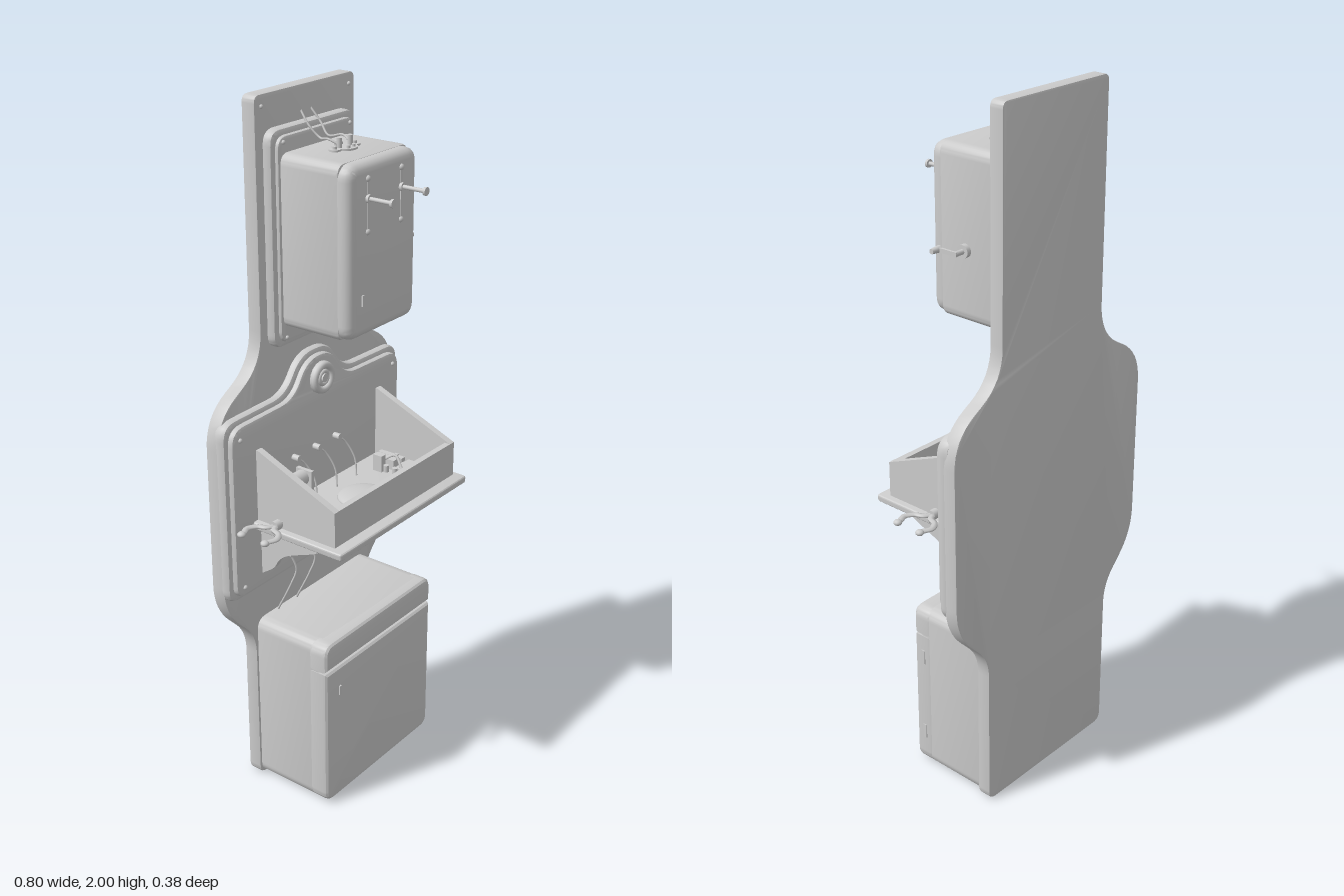
import * as THREE from 'three';
import { toCreasedNormals } from 'three/addons/utils/BufferGeometryUtils.js';

const mat = new THREE.MeshStandardMaterial({ color: 0xcccccc, side: THREE.DoubleSide });
const V = (x, y, z) => new THREE.Vector3(x, y, z);

// Closed polygon with rounded corners; each point is [x, y, radius]
function roundedShape(pts) {
  const s = new THREE.Shape();
  pts.forEach(([x, y, r = 0], i) => {
    const p = new THREE.Vector2(x, y);
    const toward = (q) => p.clone().add(new THREE.Vector2(q[0] - x, q[1] - y).setLength(r));
    const a = toward(pts.at(i - 1)), b = toward(pts[(i + 1) % pts.length]);
    if (i) s.lineTo(a.x, a.y); else s.moveTo(a.x, a.y);
    if (r) s.quadraticCurveTo(x, y, b.x, b.y);
  });
  s.closePath();
  return s;
}
const rect = (w, y0, y1, r) => roundedShape([[-w, y0, r], [w, y0, r], [w, y1, r], [-w, y1, r]]);
// Right half outline, bottom to top, mirrored to the left
const symmetric = (half) => roundedShape([...half, ...half.map(([x, y, r]) => [-x, y, r]).reverse()]);

export function createModel() {
  const root = new THREE.Group();
  const add = (name, geo, x = 0, y = 0, z = 0, parent = root) => {
    const m = new THREE.Mesh(geo, mat);
    m.name = name;
    m.position.set(x, y, z);
    parent.add(m);
    return m;
  };
  const box = (name, w, h, d, x, y, z, p) => add(name, new THREE.BoxGeometry(w, h, d), x, y, z, p);
  const slab = (name, shape, z0, z1, bevel, segs = 2) => {
    const g = new THREE.ExtrudeGeometry(shape, {
      depth: z1 - z0 - 2 * bevel, bevelEnabled: bevel > 0, bevelSize: bevel,
      bevelThickness: bevel, bevelOffset: -bevel, bevelSegments: segs, curveSegments: 8 });
    return add(name, toCreasedNormals(g, 0.5), 0, 0, z0 + bevel);
  };
  // Cylinder along a given axis, centred on the position
  const rod = (name, axis, r, len, x, y, z, p, r2 = r) => {
    const g = new THREE.CylinderGeometry(r2, r, len, 16);
    if (axis === 'z') g.rotateX(Math.PI / 2);
    if (axis === 'x') g.rotateZ(-Math.PI / 2);
    return add(name, g, x, y, z, p);
  };
  const tube = (name, pts, r, p) =>
    add(name, new THREE.TubeGeometry(new THREE.CatmullRomCurve3(pts), 24, r, 6), 0, 0, 0, p);
  const stud = (x, y, z, r = 0.008) => {
    const g = new THREE.SphereGeometry(r, 10, 5, 0, Math.PI * 2, 0, Math.PI / 2).rotateX(Math.PI / 2);
    add('stud', g, x, y, z);
  };

  // Wall boards
  slab('backBoard', symmetric([[0.255, 0.005, 0.03], [0.255, 0.49, 0.06], [0.38, 0.62, 0.08],
    [0.38, 1.2, 0.09], [0.2, 1.3, 0.09], [0.2, 2, 0.02]]), -0.185, -0.143, 0.004);
  const hump = (d) => symmetric([[0.38 - d, 0.655 + d, 0.04], [0.38 - d, 1.19 - d, 0.05],
    [0.13 - d, 1.195 - d, 0.05], [0.06 - d / 2, 1.29 - d, 0.05]]);
  slab('middleBoard', hump(0), -0.16, -0.122, 0.012);
  slab('middlePanel', hump(0.015), -0.15, -0.106, 0.009);
  slab('upperPlaque', rect(0.172, 1.335, 1.912, 0.04), -0.16, -0.118, 0.012);
  slab('upperPanel', rect(0.155, 1.35, 1.895, 0.035), -0.15, -0.108, 0.008);
  for (const s of [-1, 1]) {
    for (const y of [0.7, 1.14]) stud(s * 0.335, y, -0.106, 0.007);
    for (const y of [1.365, 1.88]) stud(s * 0.135, y, -0.108, 0.006);
    stud(s * 0.175, 1.97, -0.143, 0.006);
  }

  // Upper cabinet
  slab('upperCabinet', rect(0.147, 1.395, 1.853, 0.03), -0.145, 0.072, 0.008);
  slab('upperDoor', rect(0.145, 1.397, 1.85, 0.04), 0.04, 0.106, 0.026, 4);
  for (const s of [-1, 1]) {
    const x = s * 0.07;
    for (const y of [1.81, 1.675]) stud(x, y, 0.104, 0.009);
    rod('pegBase', 'z', 0.011, 0.012, x, 1.76, 0.108);
    rod('peg', 'z', 0.0055, 0.075, x, 1.76, 0.145);
    rod('pegHead', 'z', 0.011, 0.007, x, 1.76, 0.182);
    box('pegStrap', 0.008, 0.13, 0.004, x, 1.742, 0.106);
    // Cord from the terminal plate to the board
    tube('topCord', [V(s * 0.022, 1.865, -0.02), V(s * 0.03, 1.877, -0.05), V(s * 0.017, 1.872, -0.085),
      V(s * 0.024, 1.9, -0.115), V(s * 0.02, 1.935, -0.145)], 0.003);
  }
  // Terminal plate on the cabinet top
  const terminals = new THREE.Group();
  terminals.name = 'terminalPlate';
  root.add(terminals);
  rod('plateLobe', 'y', 0.034, 0.006, 0, 1.855, -0.02, terminals);
  box('plateBar', 0.08, 0.006, 0.028, 0, 1.855, -0.02, terminals);
  for (const s of [-1, 1]) {
    rod('plateEnd', 'y', 0.015, 0.006, s * 0.041, 1.855, -0.02, terminals);
    rod('terminal', 'y', 0.007, 0.03, s * 0.022, 1.868, -0.02, terminals);
    rod('plateScrew', 'y', 0.006, 0.01, s * 0.041, 1.86, -0.02, terminals);
    for (const z of [-0.04, 0]) rod('plateScrew', 'y', 0.005, 0.01, s * 0.011, 1.86, z, terminals);
  }
  // Latch and side crank
  box('upperLatch', 0.008, 0.03, 0.006, -0.09, 1.5, 0.107);
  const crank = new THREE.Group();
  crank.name = 'crank';
  root.add(crank);
  rod('crankBoss', 'x', 0.018, 0.014, 0.153, 1.59, -0.015, crank);
  rod('crankShaft', 'x', 0.007, 0.04, 0.17, 1.59, -0.015, crank);
  box('crankArm', 0.007, 0.012, 0.065, 0.186, 1.59, 0.012, crank);
  rod('crankKnob', 'x', 0.01, 0.03, 0.195, 1.59, 0.044, crank, 0.007);

  // Round dial on the hump
  const dial = (name, r, t, z) => add(name, new THREE.TorusGeometry(r, t, 10, 32), 0, 1.21, z);
  rod('dialBase', 'z', 0.046, 0.014, 0, 1.21, -0.103);
  dial('dialRim', 0.036, 0.01, -0.096);
  dial('dialRing', 0.018, 0.006, -0.095);
  rod('dialCentre', 'z', 0.012, 0.014, 0, 1.21, -0.095);

  // Lower cabinet: body and lid meeting at a thin seam
  slab('lowerCabinet', rect(0.248, 0.01, 0.54, 0.035), -0.17, 0.084, 0.012);
  slab('lowerDoor', roundedShape([[-0.25, 0.012, 0.035], [0.25, 0.012, 0.035], [0.25, 0.451], [-0.25, 0.451]]),
    0.04, 0.106, 0.015, 3);
  slab('lowerLid', roundedShape([[-0.25, 0.456], [0.25, 0.456], [0.25, 0.54, 0.035], [-0.25, 0.54, 0.035]]),
    0.04, 0.106, 0.015, 3);
  box('lowerLatch', 0.008, 0.03, 0.006, -0.19, 0.375, 0.107);
  for (const y of [0.12, 0.38]) box('hinge', 0.005, 0.045, 0.012, 0.25, y, 0.07);

  // Shelf tray
  const shelf = slab('shelf', roundedShape([[-0.293, -0.185, 0.012], [0.293, -0.185, 0.012],
    [0.293, 0.12], [-0.293, 0.12]]), 0, 0.022, 0.007, 3);
  shelf.rotation.x = -Math.PI / 2;
  shelf.position.y = 0.868;
  box('trayFront', 0.53, 0.105, 0.018, 0, 0.933, 0.148);
  const side = roundedShape([[-0.157, 0.88], [0.12, 0.88], [0.12, 1.09], [0.1, 1.09], [-0.157, 0.985]]);
  const bracket = new THREE.Shape();
  bracket.moveTo(0.12, 0.875);
  bracket.lineTo(-0.12, 0.875);
  bracket.lineTo(-0.12, 0.862);
  bracket.bezierCurveTo(-0.06, 0.81, 0.02, 0.815, 0.05, 0.765);
  bracket.bezierCurveTo(0.065, 0.73, 0.09, 0.73, 0.12, 0.7);
  for (const s of [-1, 1]) {
    // Shape x runs toward the back once turned
    const panel = (name, shape, x, t) => {
      const g = new THREE.ExtrudeGeometry(shape, { depth: t, bevelEnabled: false });
      g.translate(0, 0, -t / 2).rotateY(Math.PI / 2);
      add(name, toCreasedNormals(g, 0.5), x, 0, 0);
    };
    panel('traySide', side, s * 0.264, 0.02);
    panel('shelfBracket', bracket, s * 0.255, 0.016);

    // Forked hook lying flat beside the shelf
    const hook = new THREE.Group();
    hook.name = 'forkHook';
    hook.position.set(0, 0.9, -0.025);
    hook.scale.x = s;
    root.add(hook);
    box('hookStem', 0.14, 0.009, 0.012, 0.225, 0, 0, hook);
    rod('hookCollar', 'x', 0.014, 0.02, 0.293, 0, 0, hook);
    for (const k of [-1, 1]) {
      const prong = tube('hookProng', [V(0.293, 0, 0), V(0.318, 0, k * 0.014), V(0.328, 0, k * 0.036),
        V(0.352, 0, k * 0.05), V(0.376, 0, k * 0.042), V(0.39, 0, k * 0.039)], 0.009, hook);
      prong.scale.y = 0.6;
      add('hookTip', new THREE.SphereGeometry(0.012, 12, 8), 0.387, 0, k * 0.04, hook).scale.y = 0.7;
    }
    // Lever mounts inside the tray
    box('leverMount', 0.025, 0.03, 0.07, s * 0.2, 0.9, -0.025);
    box('leverBlock', 0.02, 0.05, 0.03, s * 0.165, 0.91, -0.025);
    box('contactStrip', 0.02, 0.012, 0.085, s * 0.247, 0.895, -0.04);
    box('contactBar', 0.07, 0.012, 0.02, s * 0.212, 0.895, 0.03);
    tube('contactSpring', [V(s * 0.18, 0.915, -0.02), V(s * 0.195, 0.93, 0.01), V(s * 0.185, 0.9, 0.04)], 0.004);
    for (const z of [0, 0.03]) rod('contactScrew', 'y', 0.008, 0.02, s * 0.165, 0.898, z);
  }
  // Coil with end cheeks, and a shallow dome in the tray
  rod('coil', 'x', 0.022, 0.09, -0.155, 0.955, -0.082);
  for (const x of [-0.205, -0.105]) box('coilCheek', 0.012, 0.065, 0.06, x, 0.945, -0.082);
  box('coilBase', 0.12, 0.03, 0.06, -0.155, 0.902, -0.082);
  add('trayDome', new THREE.SphereGeometry(0.075, 24, 8, 0, Math.PI * 2, 0, Math.PI / 2), 0, 0.888, 0.045)
    .scale.y = 0.25;

  // Tray back terminals with leads
  for (const x of [-0.2, -0.12, -0.03, 0.06]) {
    rod('backTerminal', 'z', 0.009, 0.025, x, 1.012, -0.097);
    tube('terminalLead', [V(x, 1.012, -0.09), V(x + 0.02, 0.99, -0.08), V(x + 0.035, 0.94, -0.06),
      V(x + 0.03, 0.89, -0.05)], 0.0025);
  }

  // Flared horn hanging below the shelf
  const horn = add('horn', new THREE.LatheGeometry([[0, 0.065], [0.016, 0.065], [0.018, 0.03], [0.026, -0.005],
    [0.038, -0.033], [0.038, -0.04], [0.032, -0.04], [0.012, 0.01], [0, 0.01]]
    .map(([r, y]) => new THREE.Vector2(r, y)), 24), -0.008, 0.797, 0.035);
  horn.rotation.x = -0.15;
  add('hornJoint', new THREE.SphereGeometry(0.022, 16, 10), -0.008, 0.86, 0.025);
  for (const x of [-0.155, 0.152]) rod('shelfPin', 'y', 0.009, 0.04, x, 0.85, 0.02);

  // Lower sockets and hanging cords
  for (const x of [-0.17, -0.087, 0.085, 0.168]) {
    rod('socket', 'z', 0.02, 0.01, x, 0.737, -0.103);
    rod('socketPin', 'z', 0.007, 0.03, x, 0.737, -0.09);
    const end = x < 0 ? 0.545 : 0.615;
    tube('hangingCord', [V(x, 0.735, -0.08), V(x + 0.01, 0.69, -0.07), V(x + 0.004, 0.64, -0.085),
      V(x - 0.002, end, x < 0 ? -0.13 : -0.1)], 0.003);
    if (x > 0) rod('cordTip', 'y', 0.003, 0.03, x - 0.002, end, -0.1, root, 0.006);
  }
  return root;
}
